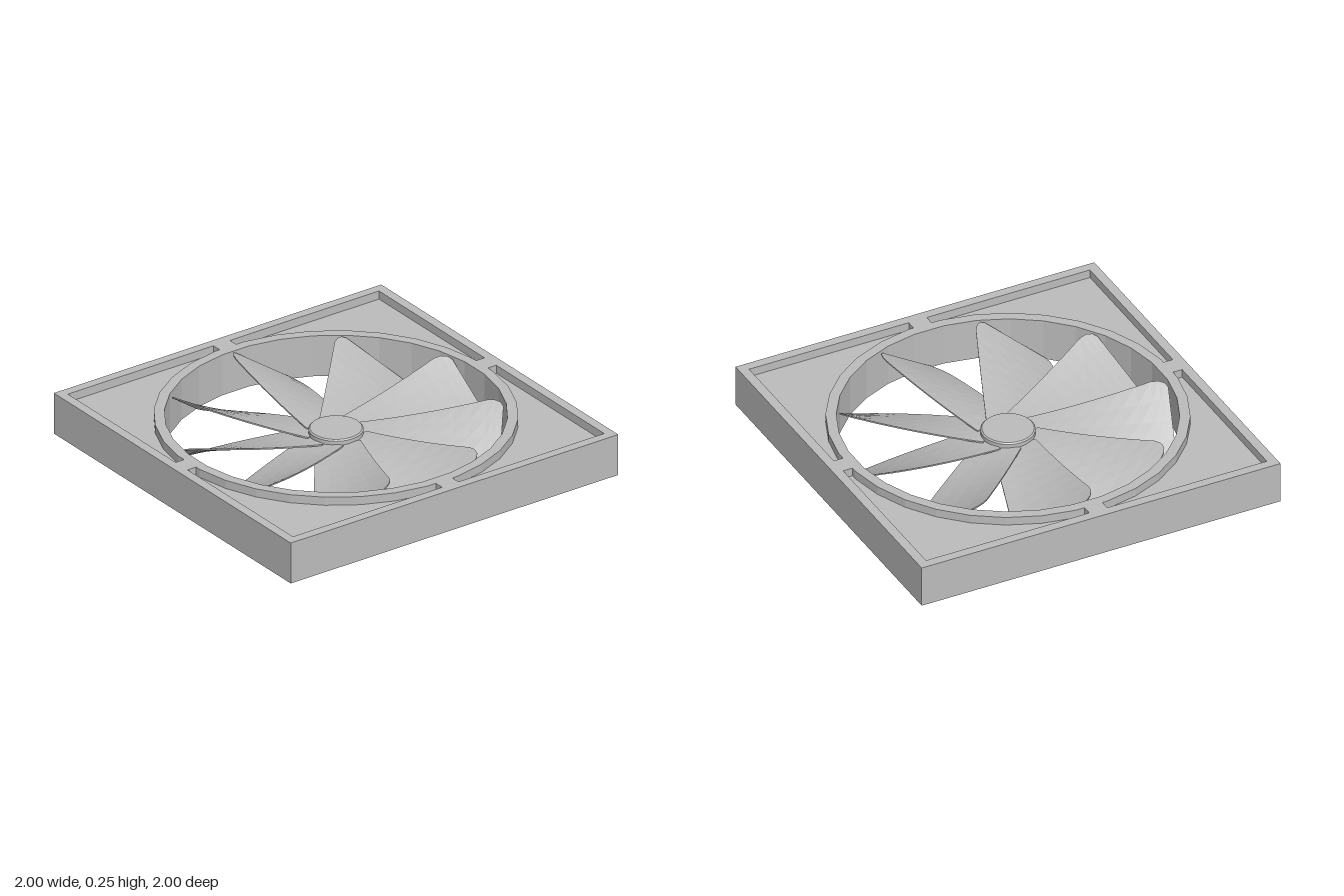
import * as THREE from 'three';

const HEIGHT = 0.225, POCKET = 0.045, SIDES = 32;
const MID = HEIGHT / 2;

// point on the faceted ring, with flats facing the four sides
function ringPoint(radius, i) {
  const a = ((i + 0.5) / SIDES) * Math.PI * 2;
  return new THREE.Vector2(radius * Math.cos(a), radius * Math.sin(a));
}

// square outline with the round opening, and optionally the four corner pockets
function frameShape(withPockets) {
  const shape = new THREE.Shape([[-1, -1], [1, -1], [1, 1], [-1, 1]].map(p => new THREE.Vector2(...p)));
  shape.holes.push(new THREE.Path(Array.from({ length: SIDES }, (_, i) => ringPoint(0.85, i))));
  if (withPockets) {
    const R = 0.903, flat = R * Math.cos(Math.PI / SIDES);
    const pocket = [
      new THREE.Vector2(0.04, 0.95), new THREE.Vector2(0.95, 0.95),
      new THREE.Vector2(0.95, 0.06), new THREE.Vector2(flat, 0.06),
    ];
    for (let i = 0; i < SIDES / 4; i++) pocket.push(ringPoint(R, i));
    pocket.push(new THREE.Vector2(0.04, flat));
    const origin = new THREE.Vector2();
    for (let k = 0; k < 4; k++) {
      shape.holes.push(new THREE.Path(pocket.map(p => p.clone().rotateAround(origin, -k * Math.PI / 2))));
    }
  }
  return shape;
}

function frameLayer(name, withPockets, y, depth, material) {
  const geo = new THREE.ExtrudeGeometry(frameShape(withPockets), { depth, bevelEnabled: false });
  geo.rotateX(-Math.PI / 2);
  const mesh = new THREE.Mesh(geo, material);
  mesh.position.y = y;
  mesh.name = name;
  return mesh;
}

// twisted blade pointing along +x: nearly flat at the hub, steep at the rounded tip
function bladeGeometry() {
  const stations = [0.1, 0.18, 0.26, 0.34, 0.42, 0.5, 0.58, 0.66, 0.735, 0.775, 0.805, 0.82];
  const n = stations.length - 1;
  const box = new THREE.BoxGeometry(1, 0.008, 1, n, 1, 4);
  const pos = box.attributes.position;
  for (let i = 0; i < pos.count; i++) {
    const k = Math.round((pos.getX(i) + 0.5) * n);
    const r = stations[k];
    let half = 0.1 + 0.125 * r;
    if (k === n - 2) half = 0.188;
    if (k === n - 1) half = 0.174;
    if (k === n) half = 0.152;
    const t = pos.getZ(i) * 2 * half;
    const slope = 0.6 * (0.12 + 0.88 * (r - 0.1) / 0.635);
    pos.setXYZ(i, r, pos.getY(i) - t * slope, t);
  }
  const geo = box.toNonIndexed();
  geo.computeVertexNormals();
  return geo;
}

export function createModel() {
  const grey = new THREE.MeshStandardMaterial({ color: 0xbcbcbc });
  grey.name = 'grey';
  const model = new THREE.Group();
  model.name = 'boxFan';

  // housing: solid middle plate with pocketed rims above and below
  const housing = new THREE.Group();
  housing.name = 'housing';
  housing.add(
    frameLayer('lowerRim', true, 0, POCKET, grey),
    frameLayer('middlePlate', false, POCKET, HEIGHT - 2 * POCKET, grey),
    frameLayer('upperRim', true, HEIGHT - POCKET, POCKET, grey),
  );
  model.add(housing);

  // rotor: hub disc and nine blades
  const rotor = new THREE.Group();
  rotor.name = 'rotor';
  rotor.position.y = MID;
  const hubRings = [[0.13, 0.13, -0.037, -0.03], [0.137, 0.137, -0.03, 0.03], [0.137, 0.13, 0.03, 0.037]];
  hubRings[0][1] = 0.137;
  hubRings.forEach(([r0, r1, y0, y1], i) => {
    const geo = new THREE.CylinderGeometry(r1, r0, y1 - y0, 40);
    const mesh = new THREE.Mesh(geo, grey);
    mesh.position.y = (y0 + y1) / 2;
    mesh.name = ['hubLowerBevel', 'hub', 'hubUpperBevel'][i];
    rotor.add(mesh);
  });
  const bladeGeo = bladeGeometry();
  for (let k = 0; k < 9; k++) {
    const blade = new THREE.Mesh(bladeGeo, grey);
    blade.rotation.y = THREE.MathUtils.degToRad(10 + 40 * k);
    blade.name = 'blade' + (k + 1);
    rotor.add(blade);
  }
  model.add(rotor);
  return model;
}
